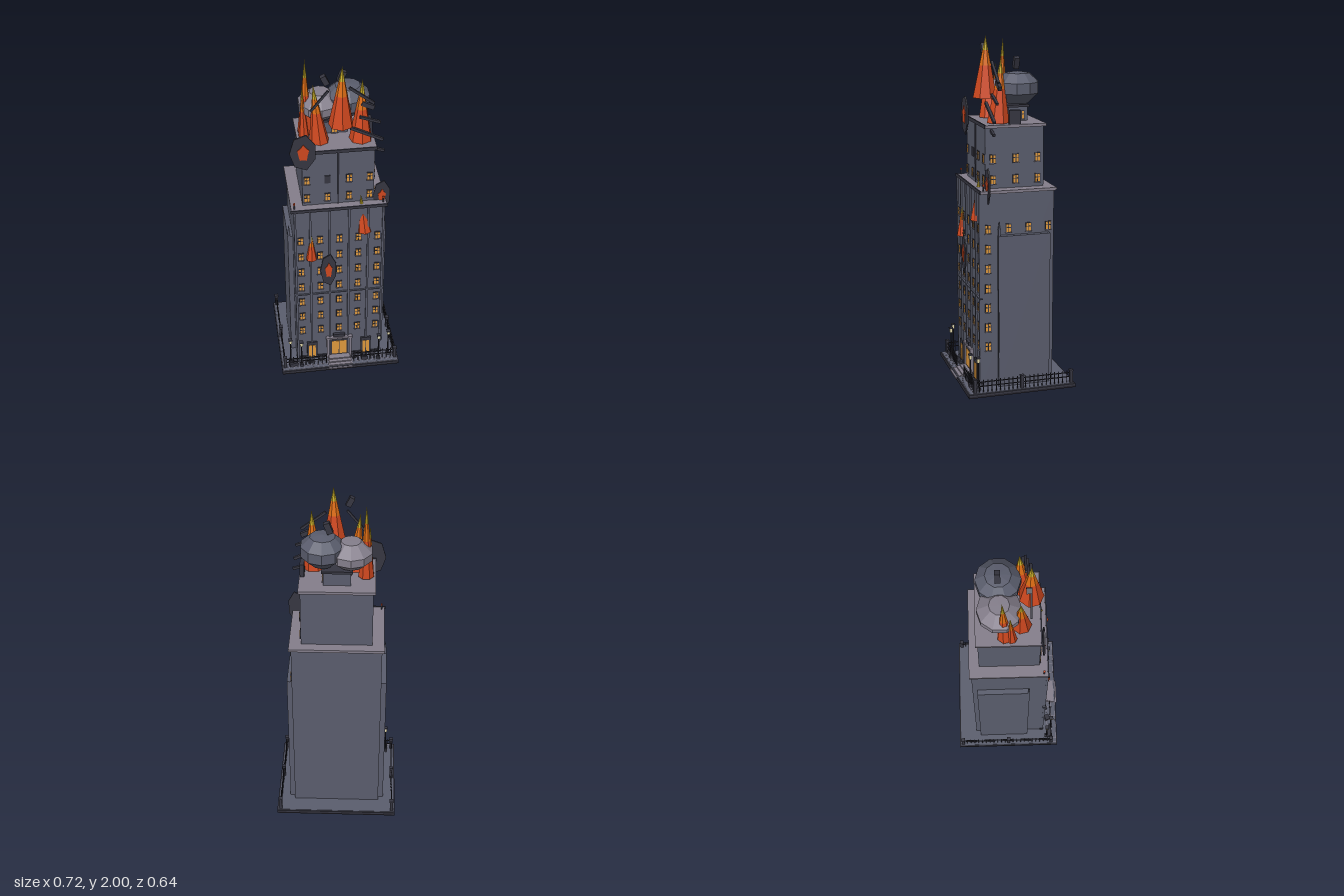
import * as THREE from 'three';

const mat = (name, color) => Object.assign(new THREE.MeshStandardMaterial({ color }), { name });
const M = {
  wall: mat('slate wall', 0x5a5d6d),
  trim: mat('pale stone', 0x847e8b),
  dark: mat('charcoal', 0x363641),
  black: mat('soot black', 0x24232b),
  red: mat('flame red', 0xd0481f),
  orange: mat('flame orange', 0xdc6c14),
  yellow: mat('flame yellow', 0xc9ae28),
  glow: mat('window glow', 0xe09a3e),
  cream: mat('lamp cream', 0xe6dcae),
};

export function createModel() {
  const root = new THREE.Group();

  const add = (name, geo, m, x = 0, y = 0, z = 0, parent = root) => {
    const mesh = new THREE.Mesh(geo, m);
    mesh.name = name;
    mesh.position.set(x, y, z);
    parent.add(mesh);
    return mesh;
  };
  // Box from its low and high corners
  const span = (name, m, x0, x1, y0, y1, z0, z1, parent = root) =>
    add(name, new THREE.BoxGeometry(x1 - x0, y1 - y0, z1 - z0), m,
      (x0 + x1) / 2, (y0 + y1) / 2, (z0 + z1) / 2, parent);
  const box = (name, m, x, y, z, w, h, d, parent = root) =>
    add(name, new THREE.BoxGeometry(w, h, d), m, x, y, z, parent);
  const faceted = (geo) => {
    const g = geo.toNonIndexed();
    g.computeVertexNormals();
    return g;
  };
  const group = (name, x = 0, y = 0, z = 0) => {
    const g = new THREE.Group();
    g.name = name;
    g.position.set(x, y, z);
    root.add(g);
    return g;
  };

  // Ground slab and paved strip
  span('slabUnderside', M.black, -0.358, 0.358, 0, 0.01, -0.322, 0.312);
  span('slabEdge', M.dark, -0.358, 0.358, 0.01, 0.021, -0.322, 0.312);
  span('ground', M.wall, -0.35, 0.35, 0.02, 0.024, -0.314, 0.306);
  for (let i = 0; i < 24; i++) box('pavingJoint', M.trim, -0.345 + i * 0.03, 0.0245, 0.278, 0.0015, 0.001, 0.056);
  for (const z of [0.25, 0.278, 0.305]) box('pavingJoint', M.trim, 0, 0.0245, z, 0.69, 0.001, 0.0015);

  // Main tower with side wings
  span('mainTower', M.wall, -0.255, 0.255, 0.02, 1.152, -0.213, 0.213);
  span('mainCornice', M.trim, -0.268, 0.268, 1.15, 1.166, -0.225, 0.217);
  span('frontParapet', M.dark, -0.272, 0.272, 1.152, 1.17, 0.215, 0.223);
  span('plinth', M.dark, -0.26, 0.26, 0.02, 0.045, 0.2, 0.22);
  span('ledge', M.wall, -0.265, 0.265, 0.545, 0.551, 0.205, 0.222);
  for (const s of [-1, 1]) {
    const wing = group('sideWing');
    box('wingBlock', M.wall, s * 0.268, 0.465, -0.035, 0.034, 0.89, 0.3, wing);
    box('wingPost', M.wall, s * 0.277, 0.485, 0.113, 0.014, 0.93, 0.01, wing);
    const tip = add('wingPinnacle', new THREE.ConeGeometry(0.009, 0.05, 4), M.wall, s * 0.277, 0.972, 0.113, wing);
    tip.rotation.y = Math.PI / 4;
    box('roofFinial', M.dark, s * 0.25, 1.18, 0.195, 0.008, 0.03, 0.008);
    box('finialTip', M.red, s * 0.25, 1.198, 0.195, 0.01, 0.008, 0.01);
  }
  for (const x of [-0.25, -0.165, -0.055, 0.055, 0.165, 0.25])
    span('pilaster', M.wall, x - 0.006, x + 0.006, 0.02, 1.15, 0.21, 0.222);

  // Upper tower and rooftop hut
  span('upperTower', M.wall, -0.2, 0.2, 1.16, 1.508, -0.168, 0.17);
  span('upperCornice', M.trim, -0.211, 0.211, 1.505, 1.521, -0.18, 0.174);
  span('upperParapet', M.dark, -0.213, 0.213, 1.505, 1.525, 0.17, 0.178);
  span('centreRib', M.dark, -0.004, 0.004, 1.166, 1.505, 0.17, 0.176);
  span('roofHut', M.wall, -0.075, 0.075, 1.52, 1.6, -0.112, 0.0);
  span('roofHutLid', M.dark, -0.085, 0.085, 1.598, 1.612, -0.12, 0.01);
  box('roofVent', M.dark, 0.195, 1.56, 0, 0.024, 0.08, 0.065);

  // Windows: dark frame, glowing pane, cross bars; facing +z or +x
  const win = (x, y, z, side = false, lit = true) => {
    const g = group('window', x, y, z);
    if (side) g.rotation.y = Math.PI / 2;
    box('windowFrame', M.dark, 0, 0, 0, 0.034, 0.05, 0.01, g);
    if (!lit) return;
    box('windowPane', M.glow, 0, 0, 0.005, 0.027, 0.042, 0.004, g);
    box('windowBar', M.dark, 0, 0, 0.007, 0.004, 0.042, 0.003, g);
    box('windowBar', M.dark, 0, 0.004, 0.007, 0.027, 0.004, 0.003, g);
    box('windowSill', M.trim, 0, -0.026, 0.004, 0.038, 0.004, 0.01, g);
  };
  for (let r = 0; r < 7; r++) {
    const y = 0.262 + r * 0.1145;
    for (let c = -2; c <= 2; c++) win(c * 0.11, y, 0.213);
    win(0.255, y, 0.172, true);
  }
  for (const z of [0.053, -0.064, -0.18]) win(0.255, 0.949, z, true);
  for (const y of [1.215, 1.333]) {
    for (const x of [-0.175, -0.06, 0.06, 0.175]) win(x, y, 0.17, false, !(x === -0.06 && y > 1.3));
    for (const z of [0.127, -0.005, -0.132]) win(0.2, y, z, true);
  }
  win(0, 1.55, 0);
  win(0.075, 1.555, -0.075, true);

  // Entrance: steps, double door, columns and side doors
  for (let i = 0; i < 4; i++)
    span('step', M.trim, -0.075 + i * 0.003, 0.075 - i * 0.003, 0.012, 0.02 + i * 0.008, 0.21, 0.32 - i * 0.02);
  const door = (x, y0, w, h, leaves) => {
    const g = group('door', x, y0, 0.216);
    box('doorFrame', M.dark, 0, h / 2, 0, w, h, 0.016, g);
    const lw = (w - 0.016) / leaves;
    for (let i = 0; i < leaves; i++)
      box('doorLeaf', M.glow, (i - (leaves - 1) / 2) * lw, h * 0.45, 0.008, lw - 0.005, h * 0.75, 0.005, g);
  };
  door(0, 0.04, 0.11, 0.14, 2);
  door(-0.165, 0.03, 0.062, 0.13, 2);
  door(0.165, 0.03, 0.062, 0.13, 2);
  for (const s of [-1, 1]) span('doorColumn', M.trim, s * 0.068 - 0.007, s * 0.068 + 0.007, 0.03, 0.185, 0.21, 0.232);
  span('doorLintel', M.trim, -0.08, 0.08, 0.178, 0.19, 0.21, 0.235);
  span('entranceBoard', M.dark, -0.035, 0.035, 0.193, 0.213, 0.21, 0.23);

  // Railings
  const rail = (x0, z0, x1, z1) => {
    const len = Math.hypot(x1 - x0, z1 - z0), n = Math.round(len / 0.025);
    const g = group('railing', (x0 + x1) / 2, 0, (z0 + z1) / 2);
    g.rotation.y = Math.atan2(z0 - z1, x1 - x0);
    for (const y of [0.06, 0.085]) box('railBar', M.black, 0, y, 0, len, 0.005, 0.004, g);
    for (let i = 0; i <= n; i++) box('picket', M.black, -len / 2 + (i / n) * len, 0.06, 0, 0.004, 0.075, 0.004, g);
  };
  for (const s of [-1, 1]) {
    rail(s * 0.337, -0.3, s * 0.337, 0.272);
    rail(s * 0.337, 0.272, s * 0.085, 0.272);
    for (const z of [-0.3, -0.005, 0.272]) {
      box('railingPost', M.dark, s * 0.337, 0.06, z, 0.018, 0.08, 0.018);
      box('railingPostCap', M.dark, s * 0.337, 0.1, z, 0.023, 0.008, 0.023);
    }
    // Street lamps
    for (const [x, z] of [[0.3, 0.243], [0.236, 0.272]]) {
      const g = group('streetLamp', s * x, 0.02, z);
      box('lampFoot', M.dark, 0, 0.01, 0, 0.022, 0.02, 0.022, g);
      add('lampPole', new THREE.CylinderGeometry(0.004, 0.005, 0.17, 6), M.black, 0, 0.09, 0, g);
      box('lampGlass', M.cream, 0, 0.182, 0, 0.016, 0.022, 0.016, g);
      box('lampCap', M.dark, 0, 0.197, 0, 0.023, 0.007, 0.023, g);
    }
  }

  // Fallen rubble along the front
  for (const [x, z, w, h, d, a] of [[-0.285, 0.262, 0.05, 0.03, 0.03, 0.1], [-0.18, 0.25, 0.035, 0.025, 0.03, 0.4],
    [0.15, 0.256, 0.036, 0.03, 0.04, 0], [0.09, 0.245, 0.03, 0.02, 0.025, 0.5], [-0.11, 0.24, 0.03, 0.02, 0.02, 0.2],
    [0.2, 0.24, 0.03, 0.02, 0.02, 0.3]])
    box('rubble', M.dark, x, 0.02 + h / 2, z, w, h, d).rotation.set(a * 0.5, a, 0);

  // Flames: faceted cones in three bands, sheared by dx toward the tip
  const flame = (x, y0, z, r, h, dx = 0, dz = 0) => {
    const g = group('flame', x, y0, z);
    [[0, 0.52, M.red, 'flameBase'], [0.52, 0.76, M.orange, 'flameMiddle'], [0.76, 1, M.yellow, 'flameTip']]
      .forEach(([a, b, m, name], i) => {
        const geo = new THREE.CylinderGeometry(r * (1 - b), r * (1 - a), (b - a) * h, 7, 1, i > 0);
        geo.translate(0, ((a + b) / 2) * h, 0);
        const p = geo.attributes.position;
        for (let k = 0; k < p.count; k++) {
          const t = p.getY(k) / h;
          p.setXYZ(k, p.getX(k) + dx * t, p.getY(k), p.getZ(k) + dz * t);
        }
        add(name, faceted(geo), m, 0, 0, 0, g);
      });
  };
  flame(0.02, 1.652, 0.122, 0.069, 0.348, 0.006, -0.004);
  flame(-0.157, 1.53, -0.02, 0.044, 0.44, 0.003, -0.015);
  flame(-0.092, 1.525, 0.07, 0.055, 0.345, -0.03, -0.008);
  flame(0.135, 1.525, 0.078, 0.064, 0.36, 0.008, -0.015);
  flame(-0.17, 1.525, 0.015, 0.03, 0.3, -0.006, -0.01);
  flame(0.145, 0.98, 0.2, 0.042, 0.24, -0.022, -0.012);
  flame(-0.16, 0.815, 0.213, 0.033, 0.18);

  // Smoke puffs
  const puff = (name, m, x, y, z, profile) =>
    add(name, faceted(new THREE.LatheGeometry(profile.map(([r, h]) => new THREE.Vector2(r, h)), 10)), m, x, y, z);
  puff('paleSmoke', M.trim, -0.075, 1.69, -0.048,
    [[0, -0.08], [0.07, -0.07], [0.12, -0.025], [0.12, 0.02], [0.055, 0.075], [0, 0.076]]);
  puff('darkSmoke', M.wall, 0.08, 1.712, -0.05,
    [[0, -0.095], [0.062, -0.088], [0.122, -0.03], [0.122, 0.03], [0.07, 0.08], [0, 0.09]]);

  // Blast marks: ragged dark plate with a glowing core
  const ragged = (w, h, radii, twist) => {
    const pts = radii.map((r, i) => {
      const a = (i / radii.length) * Math.PI * 2 + twist;
      return new THREE.Vector2(Math.cos(a) * r * w, Math.sin(a) * r * h);
    });
    return new THREE.ExtrudeGeometry(new THREE.Shape(pts), { depth: 0.008, bevelEnabled: false });
  };
  for (const [x, y, z, w, h] of [[-0.193, 1.527, 0.18, 0.08, 0.115], [0.245, 1.19, 0.165, 0.055, 0.105],
    [-0.063, 0.73, 0.224, 0.052, 0.118]]) {
    const g = group('blastMark', x, y, z);
    add('scorch', ragged(w, h, [0.92, 1, 0.98, 0.93, 0.95, 1, 0.9], 0.45), M.dark, 0, 0, 0, g);
    add('emberCore', ragged(w * 0.42, h * 0.5, [1, 0.75, 0.95, 0.7, 1, 0.8, 0.95, 0.72, 1, 0.75], 0.3), M.red, 0, 0, 0.004, g);
  }

  // Flying beams and chunks: position, size, tilt
  for (const [x, y, z, w, h, d, tilt] of [
    [0.135, 1.805, 0.095, 0.17, 0.014, 0.014, -0.66], [0.16, 1.585, 0.13, 0.2, 0.016, 0.016, -0.46],
    [0.2, 1.49, 0.135, 0.12, 0.014, 0.014, -0.3], [0.17, 1.735, 0.085, 0.075, 0.026, 0.018, -0.45],
    [-0.095, 1.8, 0.116, 0.15, 0.012, 0.01, 0.9], [0.18, 1.66, 0.11, 0.12, 0.014, 0.014, -0.35],
    [-0.065, 1.92, 0.105, 0.03, 0.055, 0.03, 0.45], [0.048, 1.845, -0.053, 0.034, 0.065, 0.03, -0.35]])
    box('flyingDebris', M.dark, x, y, z, w, h, d).rotation.z = tilt;

  return root;
}
